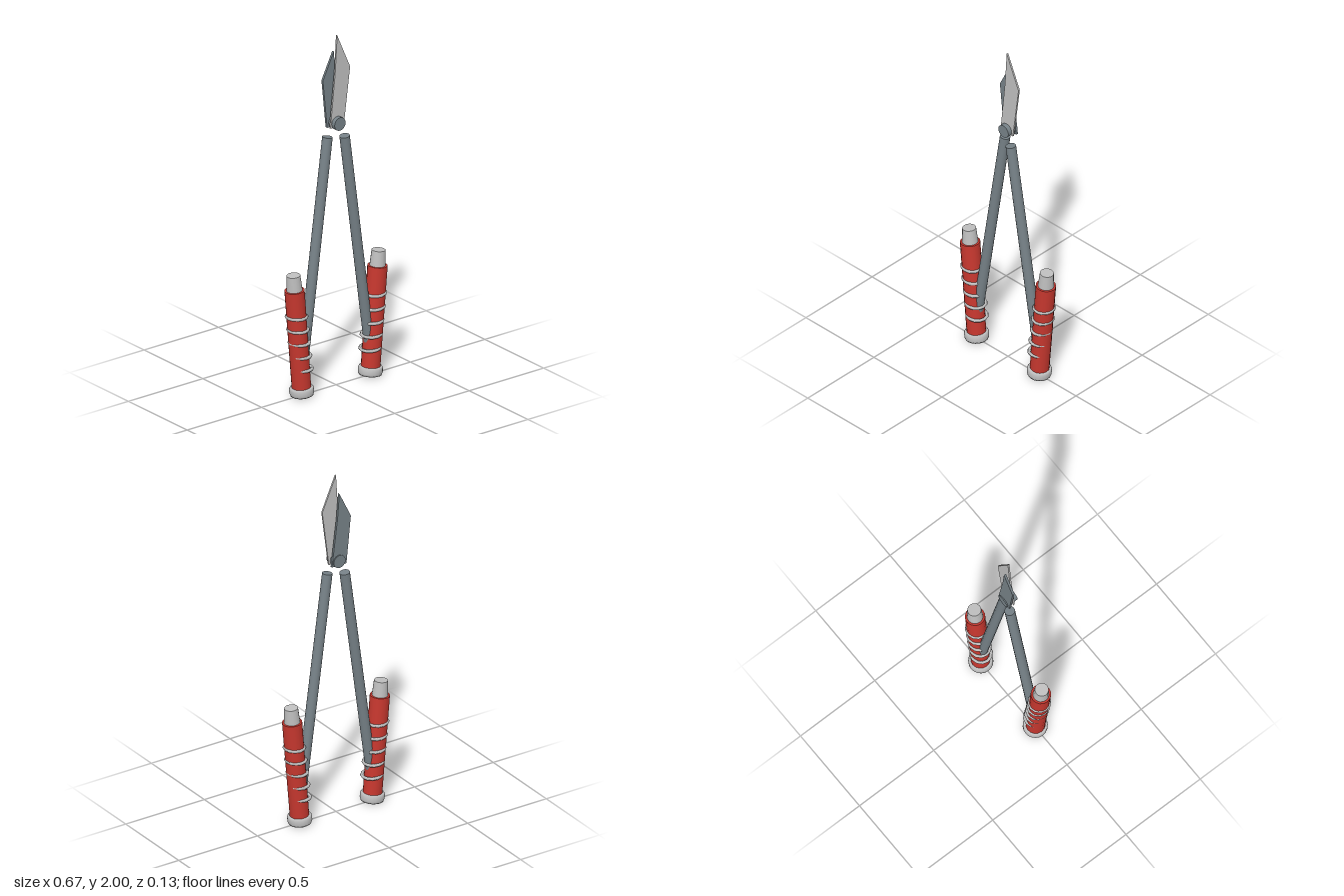
import * as THREE from 'three';

function material(name, color) {
  const m = new THREE.MeshStandardMaterial({ color });
  m.name = name;
  return m;
}

function add(parent, name, geometry, mat, x = 0, y = 0, z = 0) {
  const mesh = new THREE.Mesh(geometry, mat);
  mesh.name = name;
  mesh.position.set(x, y, z);
  parent.add(mesh);
  return mesh;
}

// Flat blade cut from an outline, with its back face at z
function blade(parent, name, outline, mat, z, depth) {
  const shape = new THREE.Shape(outline.map(([x, y]) => new THREE.Vector2(x, y)));
  const geometry = new THREE.ExtrudeGeometry(shape, { depth, bevelEnabled: false });
  return add(parent, name, geometry, mat, 0, 0, z);
}

export function createModel() {
  const red = material('red grip', 0xc8382f);
  const silver = material('light grey metal', 0xc0c0c0);
  const steel = material('blue grey steel', 0x778288);

  const model = new THREE.Group();
  model.name = 'loppingShears';

  // One arm on the +x side: rod, grip, caps and rings
  function makeArm(name) {
    const arm = new THREE.Group();
    arm.name = name;

    // Rod slanting from the pivot down into the grip
    const top = new THREE.Vector3(0.041, 1.42, 0.021);
    const bottom = new THREE.Vector3(0.222, 0.18, 0);
    const axis = top.clone().sub(bottom);
    const rod = add(arm, 'rod', new THREE.CylinderGeometry(0.028, 0.028, axis.length(), 16), steel);
    rod.position.copy(top).add(bottom).multiplyScalar(0.5);
    rod.quaternion.setFromUnitVectors(new THREE.Vector3(0, 1, 0), axis.normalize());

    // Handle leaning outwards
    const handle = new THREE.Group();
    handle.name = 'handle';
    handle.position.set(0.229, 0.005, 0);
    handle.rotation.z = -0.082;
    arm.add(handle);
    add(handle, 'grip', new THREE.CylinderGeometry(0.054, 0.052, 0.57, 16), red, 0, 0.325);
    add(handle, 'ferrule', new THREE.CylinderGeometry(0.037, 0.044, 0.1, 16), silver, 0, 0.646);
    const capProfile = [[0, 0], [0.062, 0], [0.066, 0.012], [0.066, 0.036], [0.06, 0.046], [0, 0.046]]
      .map(([r, y]) => new THREE.Vector2(r, y));
    add(handle, 'endCap', new THREE.LatheGeometry(capProfile, 20), silver);

    // Raised rings, leaning a little more than the grip
    for (let i = 0; i < 5; i++) {
      const ring = add(arm, 'gripRing', new THREE.TorusGeometry(0.054, 0.009, 6, 12), silver,
        0.228 + i * 0.0093, 0.155 + i * 0.076, 0);
      ring.rotation.set(Math.PI / 2, 0.04, 0);
    }
    return arm;
  }

  const leftArm = makeArm('leftArm');
  const rightArm = makeArm('rightArm');
  rightArm.rotation.y = Math.PI;
  model.add(leftArm, rightArm);

  // Pivot bolt
  const bolt = add(model, 'pivotBolt', new THREE.CylinderGeometry(0.037, 0.037, 0.07, 20), steel, 0, 1.5, 0);
  bolt.rotation.x = Math.PI / 2;

  // Overlapping blades
  blade(model, 'frontBlade',
    [[-0.045, 1.478], [0.045, 1.478], [0.087, 1.8], [0, 2], [-0.012, 1.8]], silver, 0, 0.01);
  blade(model, 'backBlade',
    [[0.045, 1.475], [0.01, 1.75], [-0.002, 1.9], [-0.075, 1.75], [-0.047, 1.475]], steel, -0.029, 0.013);

  return model;
}
